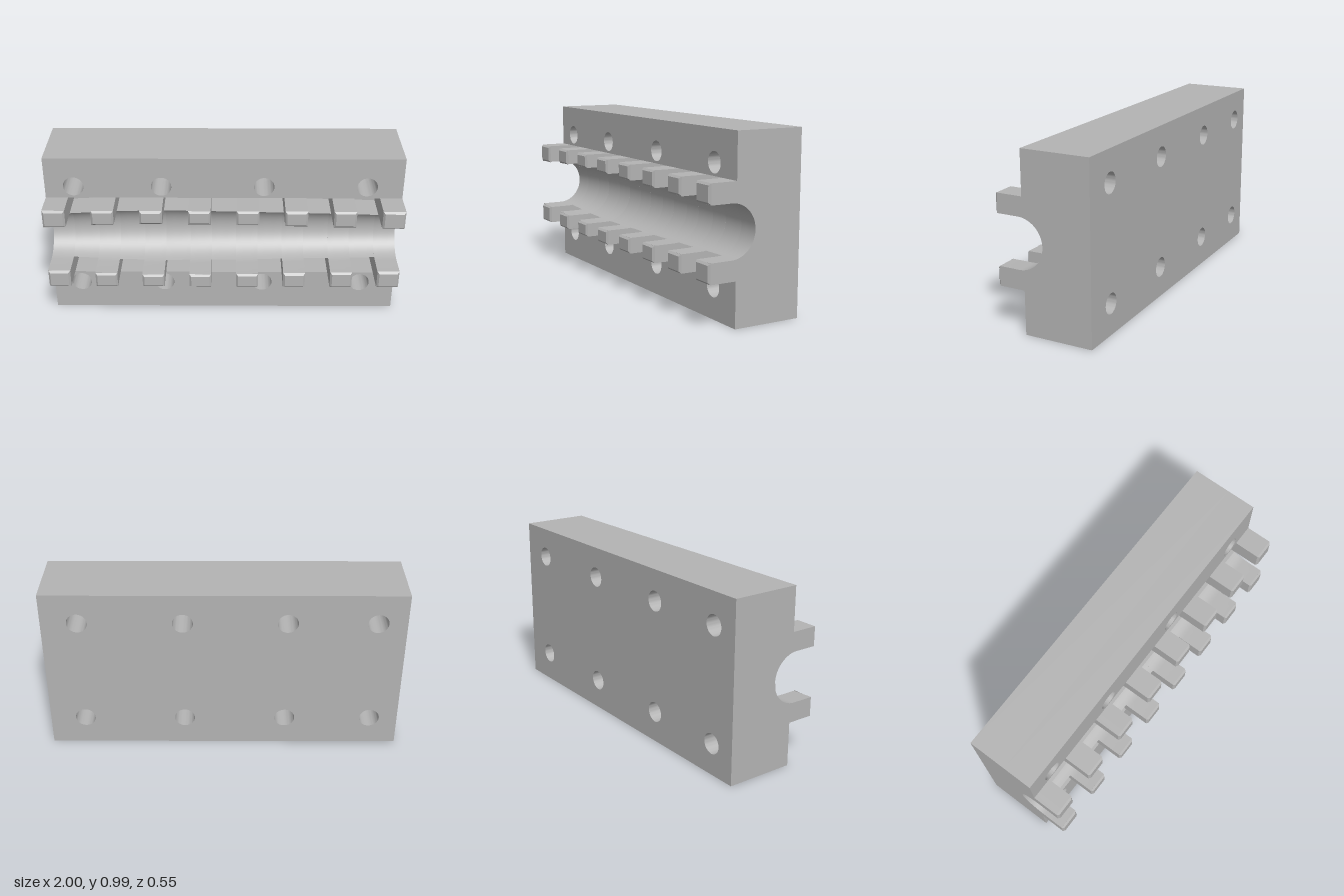
import * as THREE from 'three';
import { toCreasedNormals } from 'three/addons/utils/BufferGeometryUtils.js';

const BACK = -0.275, FLOOR = -0.055, FACE = 0.115, TIP = 0.275, CHAMFER = 0.011;
const HEIGHT = 0.99, MID = 0.495, BORE_Z = 0.142, LOW = 0.245, HIGH = 0.745;
const HOLES_X = [-0.84, -0.35, 0.225, 0.8];
const TEETH = 8, TOOTH_W = 0.125, PITCH = (2 - TOOTH_W) / (TEETH - 1);

// Bore radius along the length, gently swelling left of the middle
const PROFILE = [[-1, 0.142], [-0.6, 0.164], [-0.35, 0.17], [0.1, 0.163], [0.6, 0.152], [1, 0.142]];
function boreRadius(x) {
  for (let i = 1; i < PROFILE.length; i++) {
    const [x0, r0] = PROFILE[i - 1], [x1, r1] = PROFILE[i];
    if (x <= x1 + 1e-4) return THREE.MathUtils.mapLinear(x, x0, x1, r0, r1);
  }
  return 0.142;
}

// Plate from y0 to y1 with bolt holes in the given rows
function plate(y0, y1, z0, z1, rows) {
  const s = new THREE.Shape([[-1, y0], [1, y0], [1, y1], [-1, y1]].map(p => new THREE.Vector2(...p)));
  for (const y of rows) for (const x of HOLES_X) {
    s.holes.push(new THREE.Path().absarc(x, y, 0.057, 0, Math.PI * 2, true));
  }
  const g = new THREE.ExtrudeGeometry(s, { depth: z1 - z0, bevelEnabled: false, curveSegments: 24 });
  return toCreasedNormals(g.translate(0, 0, z0), 0.5);
}

// U-shaped slice of the channel; tooth slices are thick and reach forward
function channelSlice(x0, x1, isTooth) {
  const r = boreRadius((x0 + x1) / 2);
  const half = isTooth ? Math.PI / 2 : Math.acos((BORE_Z - FACE) / r);
  const h = r * Math.sin(half), front = TIP - CHAMFER, pts = [];
  const add = (z, y) => pts.push(new THREE.Vector2(-z, y));
  if (isTooth) {
    add(FLOOR, HIGH); add(FLOOR, LOW); add(front, LOW); add(front, MID - h);
  } else {
    add(FLOOR, MID + h); add(FLOOR, MID - h);
  }
  for (let i = 0; i <= 28; i++) {
    const t = half * (i / 14 - 1);
    add(BORE_Z - r * Math.cos(t), MID + r * Math.sin(t));
  }
  if (isTooth) { add(front, MID + h); add(front, HIGH); }
  const g = new THREE.ExtrudeGeometry(new THREE.Shape(pts), { depth: x1 - x0, steps: 3, bevelEnabled: false });
  g.rotateY(Math.PI / 2).translate(x0, 0, 0);

  // Scale the bore about its axis to follow the radius profile
  const p = g.attributes.position;
  for (let i = 0; i < p.count; i++) {
    const y = p.getY(i), z = p.getZ(i), k = boreRadius(p.getX(i)) / r;
    if (Math.abs(y - MID) > r + 1e-4) continue;
    p.setY(i, MID + (y - MID) * k);
    if (z > FLOOR + 0.005 && z < BORE_Z) p.setZ(i, BORE_Z + (z - BORE_Z) * k);
  }
  g.computeVertexNormals();
  return toCreasedNormals(g, 0.5);
}

// Chamfered end of a tooth
function toothTip(x, y0, y1) {
  const w = TOOTH_W, h = y1 - y0;
  const g = new THREE.BoxGeometry(w, h, CHAMFER).toNonIndexed();
  const p = g.attributes.position;
  for (let i = 0; i < p.count; i++) if (p.getZ(i) > 0) {
    p.setX(i, p.getX(i) * (1 - 2 * CHAMFER / w));
    p.setY(i, p.getY(i) * (1 - 2 * CHAMFER / h));
  }
  g.computeVertexNormals();
  return g.translate(x, (y0 + y1) / 2, TIP - CHAMFER / 2);
}

export function createModel() {
  const model = new THREE.Group();
  model.name = 'toothedClampHalf';
  const metal = new THREE.MeshStandardMaterial({ color: 0xb4b4b4 });
  metal.name = 'grey metal';
  const add = (name, geometry) => {
    const m = new THREE.Mesh(geometry, metal);
    m.name = name;
    model.add(m);
  };

  // Block: back plate and two front rails, bolt holes through both
  add('backPlate', plate(0, HEIGHT, BACK, FLOOR, [0.175, 0.815]));
  add('lowerRail', plate(0, LOW, FLOOR, FACE, [0.175]));
  add('upperRail', plate(HIGH, HEIGHT, FLOOR, FACE, [0.815]));

  // Teeth alternate with pockets that receive the opposite half
  for (let i = 0; i < TEETH; i++) {
    const x0 = -1 + i * PITCH, x1 = x0 + TOOTH_W, xc = (x0 + x1) / 2, r = boreRadius(xc);
    add('toothPair', channelSlice(x0, x1, true));
    add('lowerToothTip', toothTip(xc, LOW, MID - r));
    add('upperToothTip', toothTip(xc, MID + r, HIGH));
    if (i < TEETH - 1) add('boreBetweenTeeth', channelSlice(x1, x0 + PITCH, false));
  }
  return model;
}
